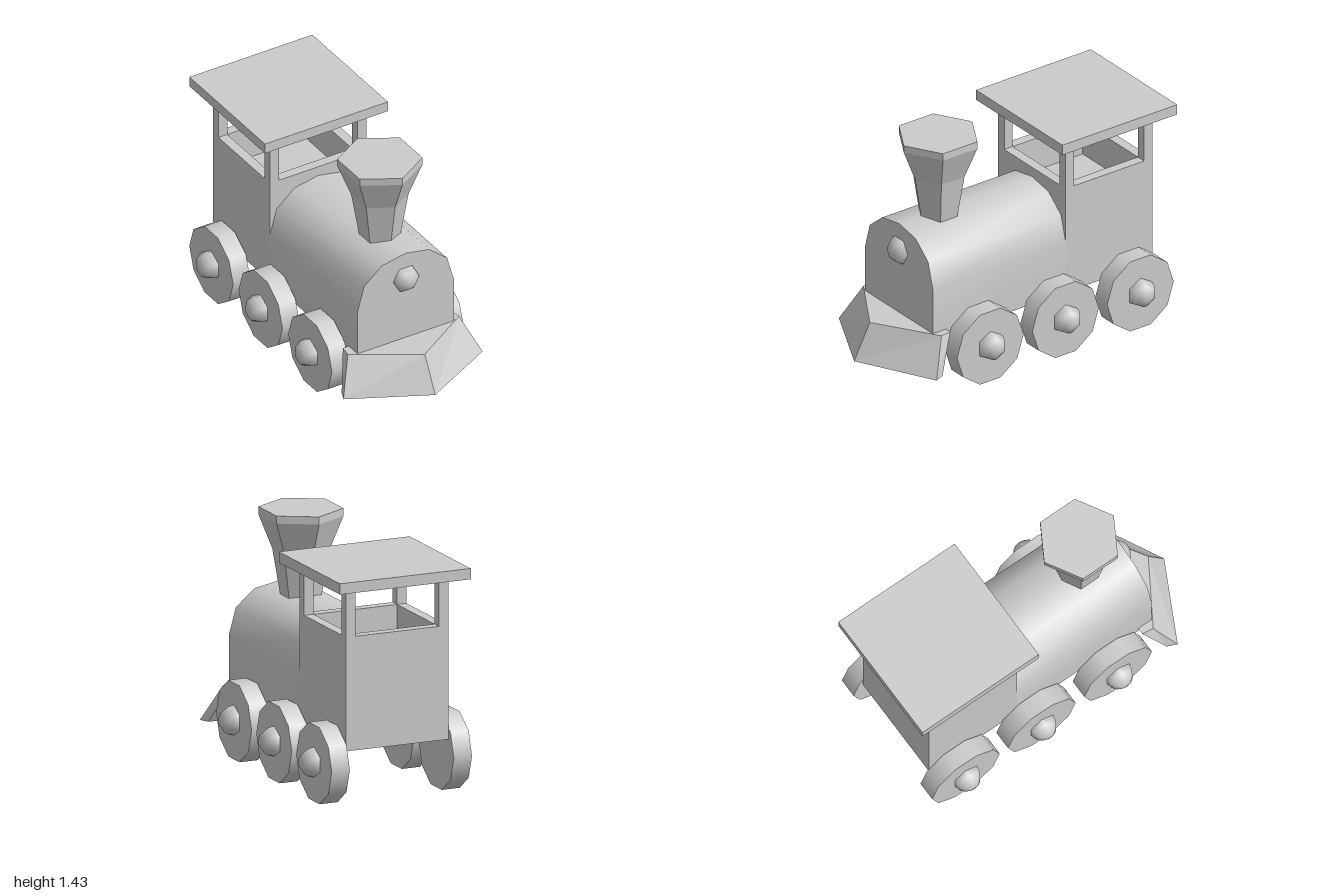
import * as THREE from 'three';
import { toCreasedNormals, mergeVertices } from 'three/addons/utils/BufferGeometryUtils.js';

const grey = new THREE.MeshStandardMaterial({ color: 0xcccccc });
const flat = new THREE.MeshStandardMaterial({ color: 0xcccccc, flatShading: true });

export function createModel() {
  const group = new THREE.Group();
  const add = (name, geometry, x = 0, y = 0, z = 0, material = flat) => {
    const mesh = new THREE.Mesh(geometry, material);
    mesh.name = name;
    mesh.position.set(x, y, z);
    group.add(mesh);
    return mesh;
  };
  // box given by its min and max corners
  const box = (name, [x0, y0, z0], [x1, y1, z1]) =>
    add(name, new THREE.BoxGeometry(x1 - x0, y1 - y0, z1 - z0),
      (x0 + x1) / 2, (y0 + y1) / 2, (z0 + z1) / 2);

  // boiler: straight sides with a rounded top, extruded along z
  const half = [[0.325, 0.335], [0.325, 0.66], [0.28, 0.82], [0.16, 0.92]];
  const profile = [...half, [0, 0.95], ...half.map(([x, y]) => [-x, y]).reverse()];
  const boilerShape = new THREE.Shape(profile.map(([x, y]) => new THREE.Vector2(x, y)));
  const boiler = new THREE.ExtrudeGeometry(boilerShape, { depth: 0.95, bevelEnabled: false });
  add('boiler', toCreasedNormals(boiler, 0.7), 0, 0, -0.27, grey);

  // headlamp: six-sided ball half sunk in the boiler front
  const ball = new THREE.SphereGeometry(0.09, 6, 8);
  add('headlamp', ball.clone().rotateX(Math.PI / 2).rotateZ(Math.PI / 2), 0, 0.778, 0.655, grey)
    .geometry.rotateZ(Math.PI / 1).rotateZ(hexTurn(ball));

  // chimney: six-sided flared funnel
  const funnel = new THREE.LatheGeometry(
    [[0, 0.93], [0.12, 0.93], [0.165, 1.2], [0.245, 1.4], [0.245, 1.445], [0, 1.445]]
      .map(([r, y]) => new THREE.Vector2(r, y)), 6);
  add('chimney', funnel, 0, 0, 0.4);

  // cab: hollow lower walls, floor, corner posts and roof
  const walls = new THREE.Shape();
  walls.moveTo(-0.325, 0.27).lineTo(0.325, 0.27).lineTo(0.325, 0.89).lineTo(-0.325, 0.89).closePath();
  const hole = new THREE.Path();
  hole.moveTo(-0.265, 0.33).lineTo(-0.265, 0.83).lineTo(0.265, 0.83).lineTo(0.265, 0.33).closePath();
  walls.holes.push(hole);
  const cab = new THREE.ExtrudeGeometry(walls, { depth: 0.675, bevelEnabled: false });
  add('cabWalls', cab.rotateX(-Math.PI / 2), 0, 0.335, 0);
  box('cabFloor', [-0.265, 0.335, -0.83], [0.265, 0.8, -0.33]);
  for (const x of [-0.325, 0.265])
    for (const z of [-0.89, -0.33])
      box('cabPost', [x, 1.01, z], [x + 0.06, 1.3, z + 0.06]);
  box('roof', [-0.415, 1.298, -1], [0.415, 1.362, -0.18]);

  // wheels with ten sides and domed hubs
  const wheel = new THREE.CylinderGeometry(0.238, 0.238, 0.115, 10).rotateZ(Math.PI / 2);
  const hub = new THREE.SphereGeometry(0.09, 6, 8).rotateZ(Math.PI / 2);
  for (const side of [-1, 1])
    for (const z of [0.358, -0.18, -0.715]) {
      add('wheel', wheel, side * 0.3875, 0.238, z, grey);
      add('wheelHub', hub, side * 0.445, 0.245, z, grey);
    }

  // cowcatcher: five-sided wedge, swept forward towards the bottom
  const ring = (y, tip, xf, zf, xb, zb) =>
    [[0, y, tip], [xf, y, zf], [xb, y, zb], [-xb, y, zb], [-xf, y, zf]];
  const corners = [...ring(0.155, 1, 0.47, 0.76, 0.445, 0.7), ...ring(0.372, 0.888, 0.375, 0.655, 0.365, 0.585)];
  const faces = [];
  for (let i = 0; i < 5; i++) {
    const j = (i + 1) % 5;
    faces.push(i, j, j + 5, i, j + 5, i + 5);
    if (i > 0 && i < 4) faces.push(0, i + 1, i, 5, i + 5, i + 6);
  }
  const wedge = new THREE.BufferGeometry();
  wedge.setAttribute('position', new THREE.Float32BufferAttribute(corners.flat(), 3));
  wedge.setIndex(faces);
  wedge.computeVertexNormals();
  add('cowcatcher', wedge);

  return group;
}

// quarter turn that puts a corner of the six-sided ball at the top
function hexTurn() {
  return Math.PI / 2;
}
